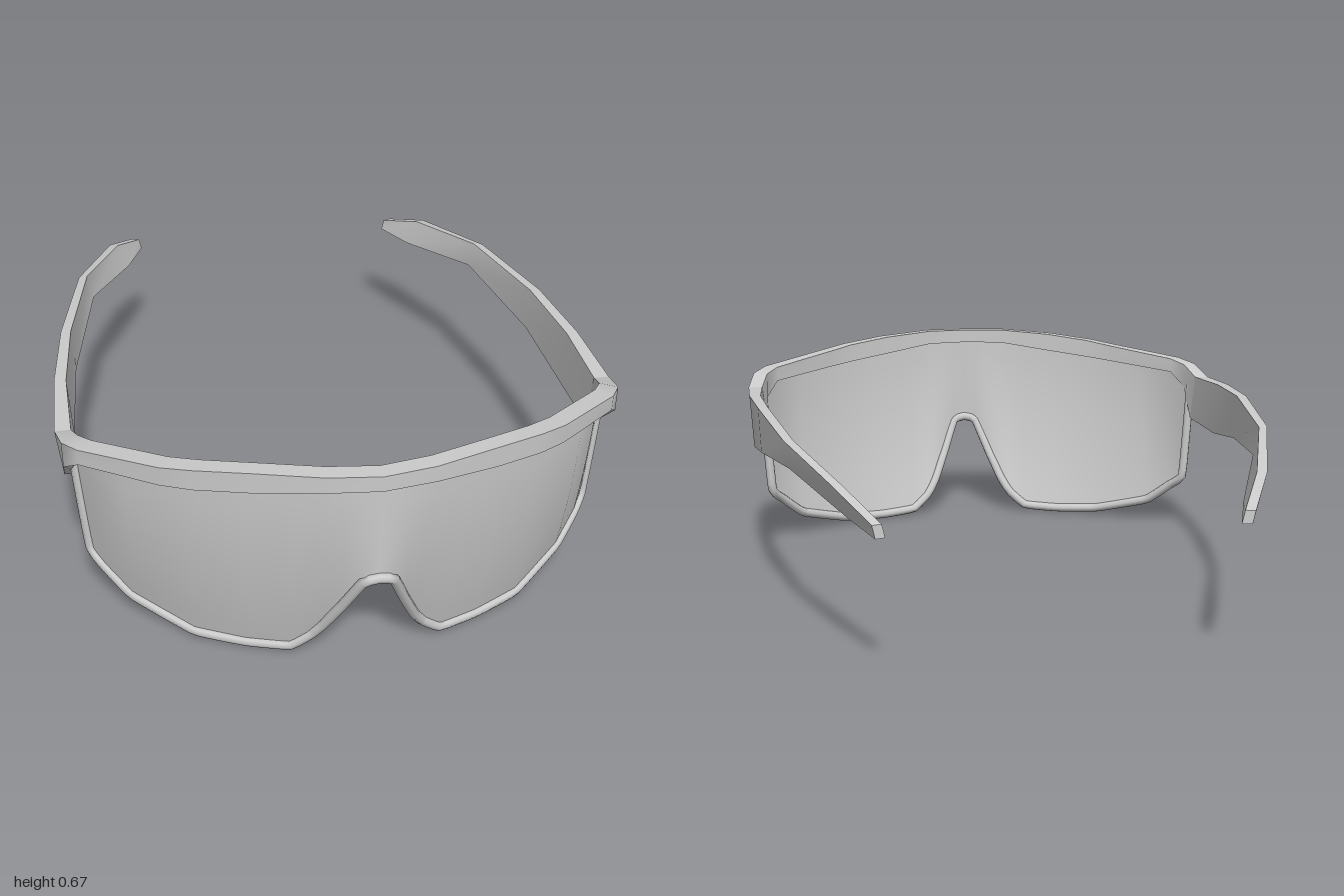
import * as THREE from 'three';

const material = new THREE.MeshStandardMaterial({ color: 0xcccccc });
const thin = new THREE.MeshStandardMaterial({ color: 0xcccccc, side: THREE.DoubleSide });

function mesh(geometry, name, mat = material) {
  const m = new THREE.Mesh(geometry, mat);
  m.name = name;
  return m;
}

// Sweep of four-cornered sections: smooth along the sweep, sharp across its edges.
// Station: outer x, outer z, inner x, inner z, top y, bottom y, inward lean of the bottom.
function sweepBar(stations) {
  const sections = stations.map(([xo, zo, xi, zi, top, bottom, lean]) => [
    [xo, top, zo], [xo - lean, bottom, zo], [xi - lean, bottom, zi], [xi, top, zi],
  ]);
  const pos = [], idx = [];
  for (let k = 0; k < 4; k++) {
    const base = pos.length / 3;
    sections.forEach((s, i) => {
      pos.push(...s[k], ...s[(k + 1) % 4]);
      if (i === 0) return;
      const a = base + 2 * (i - 1);
      idx.push(a, a + 1, a + 2, a + 2, a + 1, a + 3);
    });
  }
  // End caps
  [[sections[0], [0, 2, 1, 0, 3, 2]], [sections[sections.length - 1], [0, 1, 2, 0, 2, 3]]].forEach(([s, order]) => {
    const base = pos.length / 3;
    pos.push(...s.flat());
    idx.push(...order.map((o) => base + o));
  });
  return toGeometry(pos, idx);
}

function toGeometry(pos, idx) {
  const g = new THREE.BufferGeometry();
  g.setAttribute('position', new THREE.Float32BufferAttribute(pos, 3));
  g.setIndex(idx);
  g.computeVertexNormals();
  return g;
}

const mirrored = (stations) =>
  stations.map(([xo, zo, xi, zi, t, b, l]) => [-xo, zo, -xi, zi, t, b, -l]).reverse();

// Brow from the centre to the hinge
const brow = [
  [0, 0.995, 0, 0.945, 0.68, 0.635, 0],
  [0.14, 0.975, 0.135, 0.925, 0.68, 0.633, 0],
  [0.32, 0.905, 0.3, 0.86, 0.668, 0.608, 0],
  [0.46, 0.84, 0.435, 0.795, 0.65, 0.59, 0],
  [0.54, 0.79, 0.51, 0.745, 0.635, 0.58, 0],
  [0.74, 0.625, 0.7, 0.585, 0.603, 0.556, 0],
  [0.78, 0.56, 0.735, 0.53, 0.588, 0.51, 0],
  [0.797, 0.45, 0.752, 0.45, 0.555, 0.41, 0.015],
];

// Temple arm from the hinge to the tip
const temple = [
  brow[brow.length - 1],
  [0.79, 0.2, 0.755, 0.2, 0.565, 0.4, 0.01],
  [0.76, -0.08, 0.73, -0.08, 0.57, 0.435, 0.005],
  [0.69, -0.48, 0.662, -0.49, 0.545, 0.465, 0.015],
  [0.57, -0.83, 0.545, -0.82, 0.487, 0.405, 0.035],
  [0.485, -0.995, 0.46, -0.985, 0.425, 0.39, 0.008],
];

// Lens columns: top x, y, z, then bottom x, y, z
const columns = [
  [0, 0.645, 0.975, 0, 0.347, 0.975],
  [0.045, 0.645, 0.972, 0.04, 0.335, 0.97],
  [0.085, 0.645, 0.968, 0.085, 0.22, 0.918],
  [0.125, 0.645, 0.96, 0.125, 0.125, 0.873],
  [0.155, 0.64, 0.95, 0.155, 0.075, 0.85],
  [0.215, 0.635, 0.928, 0.212, 0.026, 0.83],
  [0.33, 0.62, 0.88, 0.33, 0.02, 0.785],
  [0.465, 0.605, 0.815, 0.465, 0.029, 0.725],
  [0.625, 0.585, 0.7, 0.625, 0.082, 0.605],
  [0.705, 0.575, 0.6, 0.695, 0.148, 0.545],
  [0.752, 0.52, 0.505, 0.73, 0.192, 0.505],
];

// Curved one-piece lens, bowing inward towards its lower edge
function lensGeometry(all) {
  const rows = 8, pos = [], idx = [];
  all.forEach(([tx, ty, tz, bx, by, bz], i) => {
    for (let j = 0; j <= rows; j++) {
      const t = j / rows;
      pos.push(tx + (bx - tx) * t, ty + (by - ty) * t, tz + (bz - tz) * t ** 1.8);
      if (i === 0 || j === rows) continue;
      const b = i * (rows + 1) + j, a = b - rows - 1;
      idx.push(a, a + 1, b, b, a + 1, b + 1);
    }
  });
  return toGeometry(pos, idx);
}

export function createModel() {
  const group = new THREE.Group();
  group.name = 'shieldSunglasses';

  group.add(mesh(sweepBar([...mirrored(brow.slice(1)), ...brow]), 'browFrame'));
  group.add(mesh(sweepBar(temple), 'leftTemple'));
  group.add(mesh(sweepBar(mirrored(temple)), 'rightTemple'));

  const flip = columns.slice(1).map(([a, b, c, d, e, f]) => [-a, b, c, -d, e, f]).reverse();
  const all = [...flip, ...columns];
  group.add(mesh(lensGeometry(all), 'lens', thin));

  // Narrow rim round the sides, lower edge and nose notch
  const edge = all.map((c) => new THREE.Vector3(c[3], c[4], c[5]));
  edge.unshift(new THREE.Vector3(-0.752, 0.52, 0.505));
  edge.push(new THREE.Vector3(0.752, 0.52, 0.505));
  const path = new THREE.CatmullRomCurve3(edge, false, 'catmullrom', 0.15);
  group.add(mesh(new THREE.TubeGeometry(path, 120, 0.015, 8, false), 'lensRim', thin));

  return group;
}
